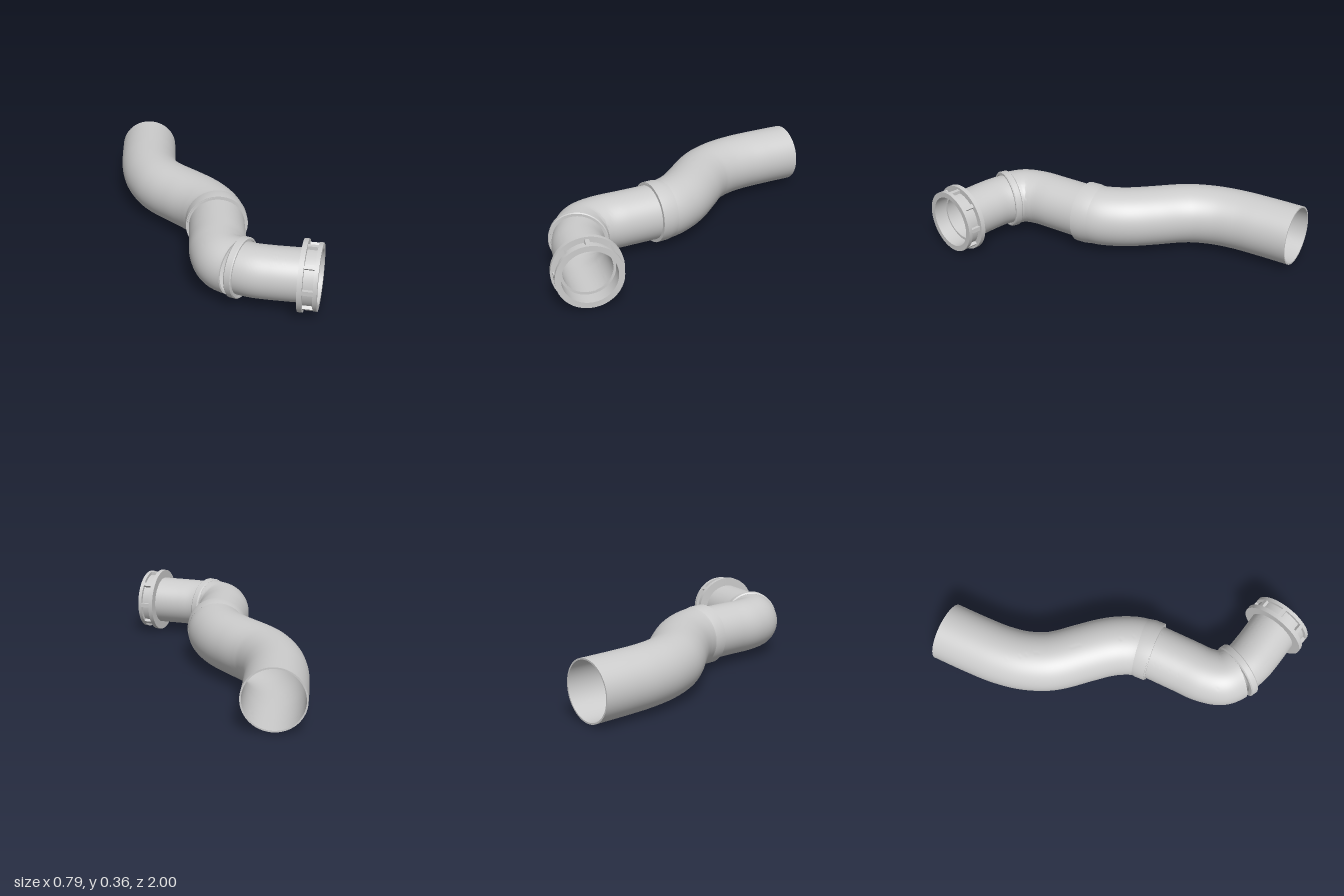
import * as THREE from 'three';
import { toCreasedNormals } from 'three/addons/utils/BufferGeometryUtils.js';

const material = new THREE.MeshStandardMaterial({ color: 0xcccccc });
const SIDES = 72;

function addMesh(parent, name, geometry) {
  const mesh = new THREE.Mesh(geometry, material);
  mesh.name = name;
  parent.add(mesh);
  return mesh;
}

// Height of the pipe's centre line: falls slightly towards the back.
const centreHeight = (z) => (z > 0.2 ? 0.178 : 0.178 + 0.012 * (z - 0.2));

// Hollow pipe swept along a level path of [x, z] points.
function hollowPipe(points, outer, inner, steps = 56) {
  const path = new THREE.CatmullRomCurve3(
    points.map(([x, z]) => new THREE.Vector3(x, centreHeight(z), z)));
  const up = new THREE.Vector3(0, 1, 0);
  // Closed wall section: out along the outside, back along the inside.
  const rows = [];
  for (let i = 0; i <= steps; i++) rows.push([i / steps, outer]);
  for (let i = steps; i >= 0; i--) rows.push([i / steps, inner]);
  rows.push([0, outer]);

  const positions = [], index = [];
  rows.forEach(([t, r], i) => {
    const centre = path.getPointAt(t);
    const side = new THREE.Vector3().crossVectors(up, path.getTangentAt(t)).normalize();
    for (let j = 0; j <= SIDES; j++) {
      const a = (j / SIDES) * Math.PI * 2;
      const p = centre.clone()
        .addScaledVector(side, r * Math.cos(a))
        .addScaledVector(up, r * Math.sin(a));
      positions.push(p.x, p.y, p.z);
      if (i && j) {
        const d = i * (SIDES + 1) + j, c = d - 1;
        const b = d - SIDES - 1, e = b - 1;
        index.push(e, b, d, e, d, c);
      }
    }
  });
  const geometry = new THREE.BufferGeometry();
  geometry.setAttribute('position', new THREE.Float32BufferAttribute(positions, 3));
  geometry.setIndex(index);
  return toCreasedNormals(geometry, 0.7);
}

// Turned ring from a closed [radius, distance] section, with its axis on +z.
function turnedRing(section) {
  const points = [...section, section[0]].map(([r, d]) => new THREE.Vector2(r, d));
  const geometry = new THREE.LatheGeometry(points, SIDES);
  geometry.rotateX(Math.PI / 2);
  return toCreasedNormals(geometry, 0.4);
}

// Group at [x, z] on the centre line whose +z axis runs along [dx, dz].
function station(parent, name, [x, z], [dx, dz]) {
  const group = new THREE.Group();
  group.name = name;
  const y = centreHeight(z);
  group.position.set(x, y, z);
  group.lookAt(x + dx, y, z + dz);
  parent.add(group);
  return group;
}

export function createModel() {
  const model = new THREE.Group();
  model.name = 'pipeAssembly';

  // Long rear pipe with two gentle bends
  addMesh(model, 'rearPipe', hollowPipe([
    [-0.05, 0.17], [-0.003, 0.09], [0.018, 0], [0.022, -0.08], [0.012, -0.2],
    [-0.002, -0.33], [0, -0.41], [0.03, -0.53], [0.085, -0.645], [0.16, -0.76],
    [0.267, -0.91],
  ], 0.157, 0.149, 80));

  // Middle elbow
  addMesh(model, 'middleElbow', hollowPipe([
    [-0.04, 0.155], [-0.15, 0.305], [-0.222, 0.405], [-0.255, 0.495], [-0.237, 0.57],
  ], 0.145, 0.136));

  // Narrow front pipe
  addMesh(model, 'frontPipe', hollowPipe([
    [-0.237, 0.567], [-0.195, 0.645], [-0.14, 0.712], [-0.03, 0.829],
  ], 0.132, 0.123));

  // Socket collar where the rear pipe takes the elbow
  const collar = station(model, 'socketCollar', [-0.05, 0.17], [-0.547, 0.837]);
  addMesh(collar, 'collarBand', turnedRing([
    [0.14, -0.05], [0.155, -0.09], [0.162, -0.05], [0.162, 0], [0.14, 0],
  ]));

  // Raised rim at the front of the elbow
  const rim = station(model, 'elbowRim', [-0.237, 0.567], [0.42, 0.908]);
  addMesh(rim, 'rimBand', turnedRing([
    [0.126, 0], [0.146, 0], [0.153, 0.006], [0.153, 0.036], [0.149, 0.041],
    [0.14, 0.041], [0.14, 0.034], [0.126, 0.034],
  ]));

  // Union nut: wide flange, recessed drum, end lip and eight ribs
  const nut = station(model, 'unionNut', [-0.042, 0.816], [0.645, 0.764]);
  addMesh(nut, 'nutBody', turnedRing([
    [0.124, 0], [0.178, 0], [0.178, 0.024], [0.149, 0.024], [0.149, 0.074],
    [0.166, 0.074], [0.166, 0.094], [0.137, 0.094], [0.137, 0.018], [0.124, 0.018],
  ]));
  for (let i = 0; i < 8; i++) {
    const a = (i / 8) * Math.PI * 2;
    const rib = addMesh(nut, 'gripRib', new THREE.BoxGeometry(0.024, 0.022, 0.054));
    rib.position.set(0.154 * Math.cos(a), 0.154 * Math.sin(a), 0.049);
    rib.rotation.z = a;
  }
  return model;
}
